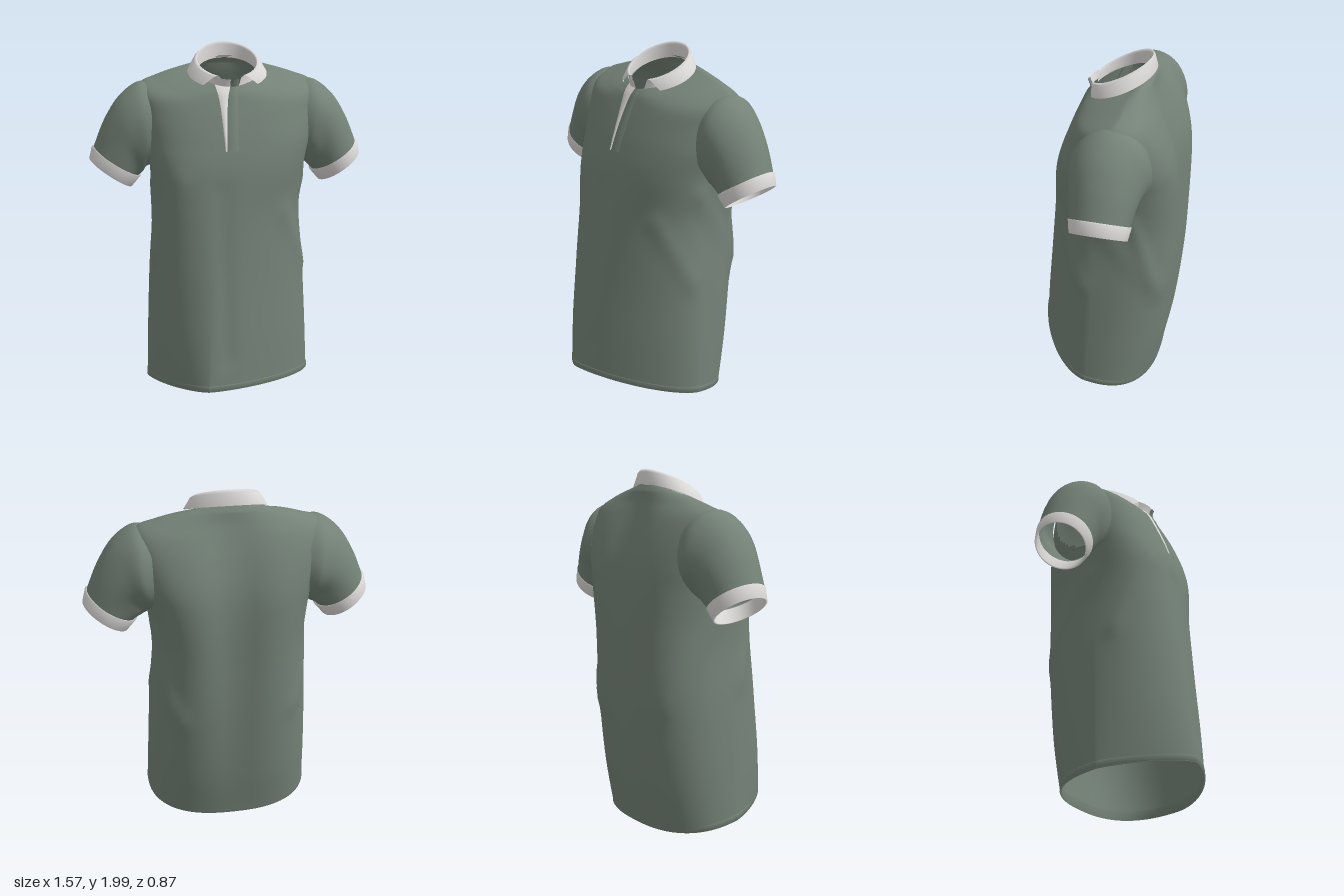
import * as THREE from 'three';

const green = new THREE.MeshStandardMaterial({ name: 'sage green cloth', color: 0x748277, side: THREE.DoubleSide });
const white = new THREE.MeshStandardMaterial({ name: 'off white trim', color: 0xdedcda, side: THREE.DoubleSide });

// Skin a grid of points: rows of equal length, optionally closed around, with optional holes
function loft(name, rows, material, closed = true, skip = () => false) {
  const n = rows[0].length, idx = [];
  for (let j = 0; j < rows.length - 1; j++) {
    for (let i = 0; i < (closed ? n : n - 1); i++) {
      const k = (i + 1) % n, a = j * n + i, b = j * n + k, c = a + n, d = b + n;
      const mid = rows[j][i].clone().add(rows[j + 1][k]).multiplyScalar(0.5);
      if (!skip(mid)) idx.push(a, c, b, b, c, d);
    }
  }
  const g = new THREE.BufferGeometry().setFromPoints(rows.flat());
  g.setIndex(idx);
  g.computeVertexNormals();
  const mesh = new THREE.Mesh(g, material);
  mesh.name = name;
  return mesh;
}

// Smooth interpolation through a table of section rows, t in row units
function sample(table, t) {
  const last = table.length - 1, i = Math.min(Math.floor(t), last - 1), f = t - i;
  const at = k => table[Math.max(0, Math.min(last, k))];
  return table[i].map((_, c) => {
    const p0 = at(i - 1)[c], p1 = at(i)[c], p2 = at(i + 1)[c], p3 = at(i + 2)[c];
    const v0 = (p2 - p0) / 2, v1 = (p3 - p1) / 2;
    return (2 * p1 - 2 * p2 + v0 + v1) * f ** 3 + (3 * p2 - 3 * p1 - 2 * v0 - v1) * f * f + v0 * f + p1;
  });
}

// Torso sections: halfWidth, front skew, zFront, zBack, zSide, yFront, ySide, yBack, front and back squareness
const torso = [
  [0.478, -0.16, 0.43, -0.335, 0.02, 0.13, 0.07, 0.01, 1.7, 2.5],
  [0.468, -0.14, 0.40, -0.40, 0.0, 0.40, 0.36, 0.32, 1.8, 2.5],
  [0.448, -0.11, 0.355, -0.445, -0.02, 0.75, 0.74, 0.73, 1.9, 2.6],
  [0.42, -0.07, 0.305, -0.458, -0.04, 1.10, 1.10, 1.10, 2.2, 2.8],
  [0.44, -0.03, 0.265, -0.455, -0.07, 1.35, 1.35, 1.35, 2.7, 2.9],
  [0.472, 0, 0.22, -0.435, -0.10, 1.50, 1.50, 1.50, 2.7, 2.9],
  [0.492, 0, 0.172, -0.388, -0.13, 1.62, 1.66, 1.64, 2.6, 2.9],
  [0.49, 0, 0.136, -0.335, -0.14, 1.70, 1.785, 1.75, 2.4, 2.7],
  [0.39, 0, 0.115, -0.29, -0.16, 1.745, 1.832, 1.825, 2.2, 2.3],
  [0.275, 0, 0.10, -0.257, -0.165, 1.77, 1.863, 1.88, 2.0, 2.1],
  [0.175, 0, 0.085, -0.23, -0.16, 1.79, 1.872, 1.92, 2.0, 2.0],
];

// Cloth folds: start, end, height, width
const folds = [
  [[0.42, 1.25, 0.0], [0.30, 0.70, -0.38], 0.014, 0.06],
  [[0.40, 1.2, -0.22], [0.36, 0.8, -0.36], 0.016, 0.04],
  [[0.28, 1.1, 0.2], [0.42, 0.75, 0.05], 0.012, 0.05],
  [[-0.28, 1.3, 0.2], [-0.42, 0.85, 0.08], 0.014, 0.05],
  [[-0.42, 1.2, -0.1], [-0.33, 0.75, -0.35], 0.012, 0.06],
  [[-0.08, 1.25, 0.3], [-0.07, 0.3, 0.4], -0.01, 0.05],
].map(([a, b, h, w]) => [new THREE.Line3(new THREE.Vector3(...a), new THREE.Vector3(...b)), h, w]);

const spow = (v, e) => Math.sign(v) * Math.abs(v) ** e;
const bell = (v, w) => Math.exp(-((v / w) ** 2));

function torsoPoint(t, a) {
  const [w, skew, zf, zb, zs, yf, ys, yb, nFront, nBack] = sample(torso, t);
  const c = Math.cos(a), s = Math.sin(a), front = s > 0;
  // The cloth pulls straighter on the front right of the skirt
  const pull = c < 0 ? 0.4 * Math.max(0, 1 - t / 3) : 0;
  const e = 2 / (front ? nFront - pull : nBack);
  const p = new THREE.Vector3(w * spow(c, e), 0, zs + (front ? zf - zs : zs - zb) * spow(s, e));
  p.y = ys + ((front ? yf : yb) - ys) * Math.abs(s) ** e;
  p.x += (front ? skew * s * s : 0) - 0.013 * Math.min(1, Math.max(0, (5 - t) / 2));
  // Hollow along the spine
  if (!front) p.z += 0.055 * bell(p.x, 0.15) * Math.abs(s) * Math.sin(Math.PI * Math.min(1, t / 9));
  const out = new THREE.Vector3(p.x, 0, p.z - zs).normalize(), near = new THREE.Vector3();
  let push = 0;
  for (const [line, h, width] of folds) {
    line.closestPointToPoint(p, true, near);
    push += h * bell(near.distanceTo(p), width);
  }
  return p.addScaledVector(out, push);
}

// Point on the chest at a given x
function chestPoint(t, x, lift) {
  let lo = 0.3, hi = Math.PI - 0.3;
  for (let i = 0; i < 30; i++) {
    const m = (lo + hi) / 2;
    if (torsoPoint(t, m).x > x) lo = m; else hi = m;
  }
  const p = torsoPoint(t, lo);
  p.z += lift;
  return p;
}

// Sleeve sections: outer x,y, inner x,y, zFront, zBack
const sleeve = [
  [0.42, 1.79, 0.41, 1.335, 0.055, -0.335],
  [0.505, 1.793, 0.44, 1.325, 0.076, -0.346],
  [0.61, 1.715, 0.46, 1.31, 0.07, -0.318],
  [0.695, 1.585, 0.475, 1.295, 0.052, -0.298],
  [0.758, 1.435, 0.505, 1.27, 0.04, -0.28],
];
const cuff = [
  [0.75, 1.44, 0.51, 1.275, 0.032, -0.272],
  [0.768, 1.437, 0.497, 1.262, 0.042, -0.284],
  [0.785, 1.37, 0.547, 1.203, 0.03, -0.272],
  [0.776, 1.366, 0.556, 1.208, 0.02, -0.262],
  [0.75, 1.43, 0.512, 1.272, 0.028, -0.268],
];
function armRing([ox, oy, ix, iy, zf, zb], side, ripple = 0) {
  return Array.from({ length: 40 }, (_, i) => {
    const a = side * i / 40 * Math.PI * 2, c = Math.cos(a), s = Math.sin(a);
    const r = 1 + ripple * Math.sin(5 * a + oy * 9) * (0.5 - 0.5 * c);
    return new THREE.Vector3(side * ((ox + ix) / 2 + (ox - ix) / 2 * c * r),
      (oy + iy) / 2 + (oy - iy) / 2 * c * r, (zf + zb) / 2 + (zf - zb) / 2 * s * r);
  });
}

// Collar edge line running round the neck, open at the front
function collarLine(gap, rx, rz, yFront, yBack) {
  return Array.from({ length: 49 }, (_, i) => {
    const a = gap + (Math.PI * 2 - gap * 2) * i / 48, k = (1 - Math.cos(a)) / 2;
    return new THREE.Vector3(rx * Math.sin(a), yFront + (yBack - yFront) * k, -0.08 + rz * Math.cos(a));
  });
}

export function createModel() {
  const shirt = new THREE.Group();
  shirt.name = 'poloShirt';

  // Body, open at hem, neck and armholes
  const rows = [];
  for (let j = 0; j <= 80; j++) {
    rows.push(Array.from({ length: 120 }, (_, i) => torsoPoint(j / 8, i / 60 * Math.PI)));
  }
  const armhole = p => Math.abs(p.x) > 0.4 && ((p.z + 0.135) / 0.155) ** 2 + ((p.y - 1.575) / 0.175) ** 2 < 1;
  shirt.add(loft('body', rows, green, true, armhole));

  // Turned-in hem
  const inset = (row, k, up) => row.map(p => new THREE.Vector3(p.x * k, p.y + up, p.z * k));
  shirt.add(loft('hem', [inset(rows[2], 0.97, 0), inset(rows[0], 0.98, 0), inset(rows[0], 1.006, 0.003),
    inset(rows[0], 1.006, 0.03), inset(rows[1], 1.0, 0.015)], green));

  // Sleeves and cuffs
  for (const side of [1, -1]) {
    const label = side > 0 ? 'left' : 'right';
    const arm = [];
    for (let j = 0; j <= 24; j++) {
      const t = j / 6;
      arm.push(armRing(sample(sleeve, t), side, 0.04 * Math.sin(Math.PI * t / 4)));
    }
    // Rings run from shoulder to wrist, so reverse them for outward faces
    shirt.add(loft(label + 'Sleeve', arm.reverse(), green));
    shirt.add(loft(label + 'Cuff', cuff.map(r => armRing(r, side)).reverse(), white));
  }

  // Folded collar: inner stand, fold, outer leaf
  shirt.add(loft('collar', [
    collarLine(0.25, 0.166, 0.155, 1.785, 1.91),
    collarLine(0.36, 0.164, 0.154, 1.83, 1.985),
    collarLine(0.42, 0.17, 0.16, 1.84, 2.0),
    collarLine(0.5, 0.187, 0.168, 1.834, 1.985),
    collarLine(0.74, 0.224, 0.182, 1.777, 1.92),
    collarLine(0.74, 0.216, 0.174, 1.774, 1.917),
  ].reverse(), white, false));

  // Placket: white facing showing in the opening, green button strip beside it
  const strip = (name, material, edges, lift) => {
    const grid = [];
    for (let j = 0; j <= 24; j++) {
      const f = j / 24, t = 4.7 + f * 5.3, [l, r] = edges(f);
      grid.push([0, 0.25, 0.5, 0.75, 1].map(k =>
        chestPoint(t, r + (l - r) * k, lift * (k === 0 || k === 1 ? 0.2 : 1))));
    }
    // Loose end standing up at the throat
    grid.push(grid.at(-1).map(p => new THREE.Vector3(p.x, p.y + 0.04, p.z + 0.015)));
    shirt.add(loft(name, grid, material, false));
  };
  strip('placketFacing', white, f => [-0.054 - 0.036 * f, -0.044 + 0.04 * f], 0.006);
  strip('placket', green, f => [-0.046 + 0.04 * f, 0.018 + 0.022 * f], 0.007);

  return shirt;
}
